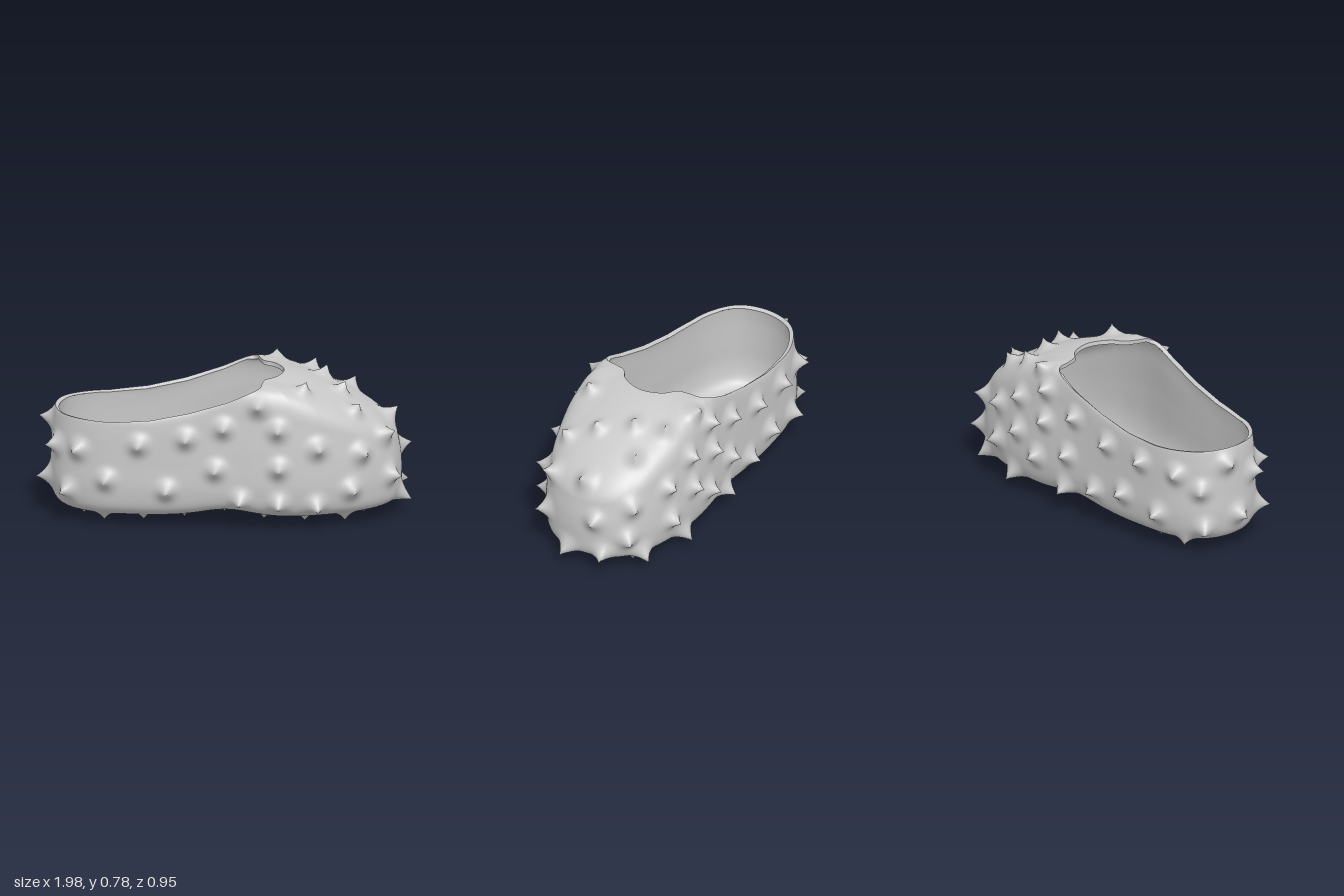
import * as THREE from 'three';

const U = 400, LOW = 76, HIGH = 32, THICK = 0.022, SOLE = 0.058;
const SPIKE_HEIGHT = 0.077, SPIKE_RADIUS = 0.098;

// Half outline from toe to heel: body x, z and matching opening x, z
const HALF = [
  [0.93, 0, 0.31, 0], [0.885, 0.19, 0.295, 0.07], [0.745, 0.315, 0.26, 0.13],
  [0.52, 0.385, 0.21, 0.17], [0.33, 0.4, 0.19, 0.23], [0.17, 0.39, 0.17, 0.305],
  [0.02, 0.372, 0.08, 0.338], [-0.25, 0.348, -0.2, 0.326], [-0.5, 0.325, -0.5, 0.308],
  [-0.72, 0.28, -0.7, 0.27], [-0.87, 0.17, -0.845, 0.168], [-0.92, 0, -0.893, 0],
];

// Height of the upper edge along the length
const TOP = [[-0.92, 0.585], [-0.6, 0.575], [-0.4, 0.59], [-0.2, 0.63], [0, 0.69], [0.12, 0.74],
  [0.2, 0.768], [0.35, 0.77], [0.5, 0.72], [0.65, 0.65], [0.8, 0.58], [0.93, 0.54]];
function topY(x) {
  let i = 0;
  while (i < TOP.length - 2 && x > TOP[i + 1][0]) i++;
  const [x0, y0] = TOP[i], [x1, y1] = TOP[i + 1];
  const t = THREE.MathUtils.clamp((x - x0) / (x1 - x0), 0, 1);
  return y0 + (y1 - y0) * t;
}

function outline(k) {
  const pts = HALF.map(p => new THREE.Vector3(p[k], 0, p[k + 1]));
  const other = pts.slice(1, -1).reverse().map(p => new THREE.Vector3(p.x, 0, -p.z));
  return new THREE.CatmullRomCurve3([...pts, ...other], true, 'catmullrom', 0.5);
}

// One strip from the middle of the sole, up the wall, to the opening edge
function strip(P, O) {
  const front = THREE.MathUtils.smoothstep(P.x, 0, 0.4); // the toe box has rounder shoulders
  const lean = THREE.MathUtils.smoothstep(P.x, -0.4, 0.2); // its walls lean inwards
  const top = topY(P.x), sh = top * (0.82 - 0.06 * front);
  const inset = 0.985 - 0.05 * lean;
  const at = (sx, sz, y) => new THREE.Vector3(P.x * sx, y, P.z * sz);
  const shoulder = at(0.99 - 0.012 * front, inset, sh);
  const lower = new THREE.CatmullRomCurve3([
    at(0, 0, SOLE), at(0.5, 0.5, SOLE), at(0.92, 0.82, SOLE + 0.004), at(0.975 + 0.012 * front, 0.94, 0.1),
    at(1, 1, 0.2), at(0.997, 0.995 - 0.01 * lean, 0.2 + (sh - 0.2) * 0.5), shoulder,
  ], false, 'centripetal');
  const end = new THREE.Vector3(O.x, topY(O.x), O.z);
  const c1 = at(0.98 - 0.015 * front, inset - 0.01 - 0.025 * front, sh + (top - sh) * (0.85 + 0.17 * front));
  const c2 = end.clone().lerp(c1, 0.36);
  c2.y = THREE.MathUtils.lerp(end.y, c1.y, 0.33 - 0.2 * front);
  const upper = new THREE.CubicBezierCurve3(shoulder, c1, c2, end);
  const pts = [...lower.getSpacedPoints(LOW), ...upper.getPoints(HIGH).slice(1)];
  for (const p of pts) {
    p.y += 0.035 * Math.exp(-((p.x / 0.18) ** 2)) * Math.max(0, 1 - (p.y - SOLE) / 0.15); // arch
    p.z -= 0.022 * THREE.MathUtils.smoothstep(p.x, 0.2, 0.9); // toe leans to one side
  }
  return pts;
}

// Surface through closed rings of points
function skin(rings) {
  const pos = [], idx = [], n = rings[0].length;
  rings.forEach(r => r.forEach(p => pos.push(p.x, p.y, p.z)));
  for (let r = 0; r < rings.length - 1; r++) {
    for (let i = 0; i < n; i++) {
      const j = (i + 1) % n, a = r * n + i, b = r * n + j;
      idx.push(a, a + n, b, b, a + n, b + n);
    }
  }
  const g = new THREE.BufferGeometry();
  g.setAttribute('position', new THREE.Float32BufferAttribute(pos, 3));
  g.setIndex(idx);
  g.computeVertexNormals();
  return g;
}

// Spike positions on each side, as seen along that side's axis
const SPIKES = [
  { dir: [0, 0, 1], axes: ['x', 'y'], size: 1, at: [ // left wall
    [-0.78, 0.41], [-0.83, 0.18], [-0.64, 0.26], [-0.46, 0.46], [-0.32, 0.21], [-0.22, 0.49], [-0.06, 0.33],
    [-0.01, 0.55], [0.07, 0.16], [0.17, 0.67], [0.27, 0.54], [0.27, 0.34], [0.27, 0.15], [0.48, 0.44],
    [0.47, 0.14], [0.65, 0.21], [0.71, 0.39]] },
  { dir: [0, 0, -1], axes: ['x', 'y'], size: 1, at: [ // right wall
    [-0.75, 0.45], [-0.64, 0.2], [-0.53, 0.46], [-0.4, 0.25], [-0.27, 0.48], [-0.18, 0.2], [-0.02, 0.55],
    [0.02, 0.33], [0.05, 0.14], [0.19, 0.47], [0.25, 0.26], [0.2, 0.64], [0.4, 0.36], [0.4, 0.55],
    [0.45, 0.1], [0.58, 0.45], [0.58, 0.24], [0.74, 0.11]] },
  { dir: [1, 0, 0], axes: ['z', 'y'], size: 1, at: [ // toe
    [-0.03, 0.51], [0.18, 0.46], [-0.13, 0.32], [0.2, 0.25], [0.04, 0.11], [-0.17, 0.13],
    [-0.29, 0.39], [-0.28, 0.22]] },
  { dir: [-1, 0, 0], axes: ['z', 'y'], size: 1, at: [ // heel
    [0.02, 0.21], [-0.05, 0.5], [0.13, 0.42], [-0.18, 0.36], [-0.17, 0.14]] },
  { dir: [0, 1, 0], axes: ['x', 'z'], size: 0.8, at: [ // instep
    [0.28, -0.33], [0.46, -0.27], [0.66, -0.22], [0.51, -0.11], [0.61, 0.06], [0.4, 0.25], [0.67, 0.2]] },
  { dir: [0, -1, 0], axes: ['x', 'z'], size: 0.76, at: [[-0.58, -0.1]] }, // longest sole spike
];
const sole = [];
for (let row = 0; row < 4; row++) {
  for (let x = -0.75 + (row % 2) * 0.11; x < 0.8; x += 0.21) {
    sole.push([x, (row - 1.5) * 0.16 * (x < 0 ? 0.82 : 1)]);
  }
}
SPIKES.push({ dir: [0, -1, 0], axes: ['x', 'z'], size: 0.52, at: sole });

// Each spike grows from the nearest shell point that faces its side
function findSpikes(rings, normalAt) {
  const found = [];
  for (const { dir, axes: [a, b], size, at } of SPIKES) {
    const d = new THREE.Vector3(...dir);
    for (const [s, t] of at) {
      let best = Infinity, spike;
      rings.forEach((ring, r) => ring.forEach((p, i) => {
        const dist = (p[a] - s) ** 2 + (p[b] - t) ** 2;
        if (r === 0 || dist >= best) return;
        const normal = normalAt(r, i);
        if (normal.dot(d) < 0.15) return;
        best = dist;
        spike = { point: p, normal, size };
      }));
      found.push(spike);
    }
  }
  return found;
}

export function createModel() {
  const model = new THREE.Group();
  model.name = 'spikedClog';
  const grey = new THREE.MeshStandardMaterial({ color: 0xc8c8c8 });
  grey.name = 'grey';
  const add = (name, geometry) => {
    const mesh = new THREE.Mesh(geometry, grey);
    mesh.name = name;
    model.add(mesh);
  };

  // Smooth shell
  const body = outline(0), mouth = outline(2), strips = [];
  for (let i = 0; i < U; i++) strips.push(strip(body.getPoint(i / U), mouth.getPoint(i / U)));
  const rings = strips[0].map((_, r) => strips.map(s => s[r]));
  const normals = skin(rings).attributes.normal;
  const normalAt = (r, i) => new THREE.Vector3().fromBufferAttribute(normals, r * U + i);

  // Outer shell: flared spikes drawn out of the smooth shell, fading at the rim
  const spikes = findSpikes(rings, normalAt);
  const spiked = rings.map((ring, r) => ring.map(p => {
    let height = 0, pull = null;
    for (const { point, normal, size } of spikes) {
      const t = p.distanceTo(point) / (SPIKE_RADIUS * Math.sqrt(size));
      if (t >= 1) continue;
      const h = SPIKE_HEIGHT * size * (1 - t) ** 2.4;
      if (h > height) { height = h; pull = normal; }
    }
    const fade = Math.min(1, (rings.length - 1 - r) / 4);
    return pull ? p.clone().addScaledVector(pull, height * fade) : p;
  }));
  add('outerShell', skin(spiked));

  // Lining: the smooth shell moved inwards along its normals
  const inner = rings.map((ring, r) => ring.map((p, i) =>
    r === 0 ? p.clone().setY(p.y + THICK) : p.clone().addScaledVector(normalAt(r, i), -THICK)));
  const coarse = inner.filter((_, r) => r % 2 === 0).map(ring => ring.filter((_, i) => i % 2 === 0));
  add('lining', skin(coarse.reverse()));
  add('rim', skin([rings.at(-1), inner.at(-1)]));
  return model;
}
